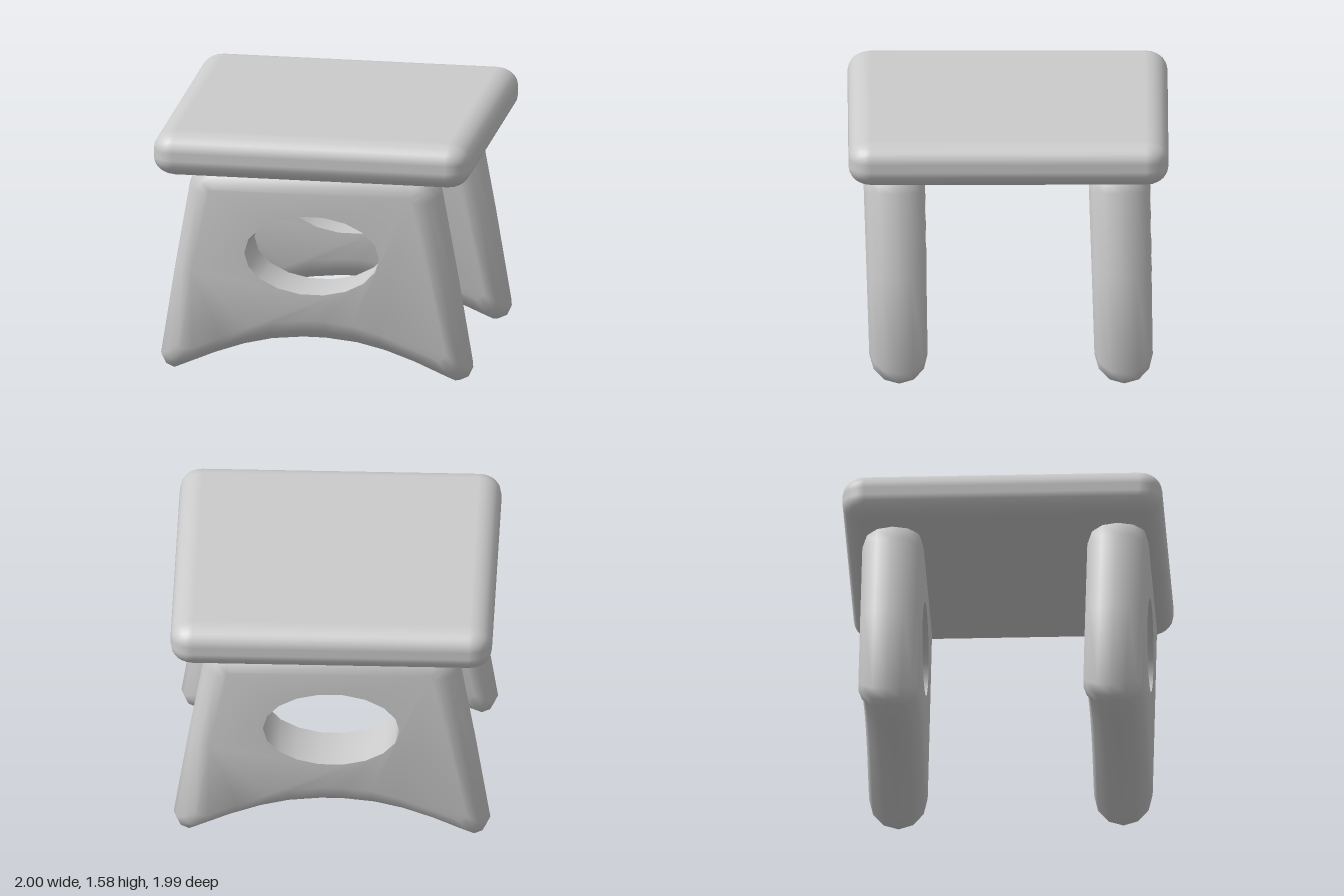
import * as THREE from 'three';
import { mergeGeometries, toCreasedNormals } from 'three/addons/utils/BufferGeometryUtils.js';
import { RoundedBoxGeometry } from 'three/addons/geometries/RoundedBoxGeometry.js';

// Right halves of the leg contour, bottom centre to top: full outline and flat face.
const OUTER = [[0.07, 0.24], [0.27, 0.22], [0.45, 0.178], [0.64, 0.112], [0.84, 0.025], [0.9, 0],
  [0.955, 0.025], [0.985, 0.09], [0.89, 0.68], [0.797, 1.21], [0.765, 1.3], [0.69, 1.36]];
const FACE = [[0.07, 0.39], [0.25, 0.37], [0.41, 0.325], [0.58, 0.255], [0.76, 0.175], [0.8, 0.16],
  [0.83, 0.17], [0.845, 0.2], [0.76, 0.68], [0.665, 1.18], [0.65, 1.21], [0.62, 1.22]];

const mirrored = (half) => [...half, ...half.map(([x, y]) => [-x, y]).reverse()];
const toVectors = (points) => points.map(([x, y]) => new THREE.Vector2(x, y));

// Skin between successive closed rings of [x, y, z] points.
function skin(rings) {
  const positions = [];
  for (let i = 0; i < rings.length - 1; i++) {
    const near = rings[i], far = rings[i + 1], n = near.length;
    for (let j = 0; j < n; j++) {
      const k = (j + 1) % n;
      positions.push(...near[j], ...far[j], ...near[k], ...near[k], ...far[j], ...far[k]);
    }
  }
  const geometry = new THREE.BufferGeometry();
  geometry.setAttribute('position', new THREE.Float32BufferAttribute(positions, 3));
  return geometry;
}

function legGeometry() {
  const outer = mirrored(OUTER), face = mirrored(FACE);

  // Rounded rim, sweeping half a turn from front face to back face
  const rim = [];
  for (let i = 0; i <= 6; i++) {
    const a = (i / 6) * Math.PI, s = Math.sin(a);
    rim.push(face.map(([x, y], j) => [
      x + (outer[j][0] - x) * s, y + (outer[j][1] - y) * s, Math.cos(a)]));
  }

  // Sharp-edged oval opening
  const oval = [];
  for (let i = 0; i < 18; i++) {
    const a = -(i / 18) * Math.PI * 2;
    oval.push([0.425 * Math.cos(a), 0.815 + 0.257 * Math.sin(a)]);
  }
  const wall = [1, -1].map((z) => oval.map(([x, y]) => [x, y, z]));

  // Flat front and back faces
  const shape = new THREE.Shape(toVectors(face));
  shape.holes.push(new THREE.Path(toVectors(oval)));
  const front = new THREE.ShapeGeometry(shape).toNonIndexed();
  front.deleteAttribute('normal');
  front.deleteAttribute('uv');
  front.translate(0, 0, 1);
  const back = front.clone().rotateY(Math.PI);

  const geometry = mergeGeometries([skin(rim), skin(wall), front, back]);

  // Give the panel its thickness, slight taper and lean
  const p = geometry.attributes.position;
  for (let i = 0; i < p.count; i++) {
    const y = p.getY(i);
    p.setZ(i, 0.025 * (y - 0.6) + p.getZ(i) * (0.18 + 0.008 * y));
  }
  return toCreasedNormals(geometry, 0.9);
}

export function createModel() {
  const group = new THREE.Group();
  group.name = 'stool';
  const material = new THREE.MeshStandardMaterial({ color: 0xcccccc });

  // Cushioned square seat
  const seatGeometry = new RoundedBoxGeometry(2, 0.34, 1.99, 3, 0.14);
  seatGeometry.scale(1, 0.28 / 0.34, 1);
  const seat = new THREE.Mesh(seatGeometry, material);
  seat.name = 'seat';
  seat.position.y = 1.44;
  group.add(seat);

  // Two identical panel legs
  const leg = legGeometry();
  for (const [name, z] of [['frontLeg', 0.695], ['backLeg', -0.705]]) {
    const mesh = new THREE.Mesh(leg, material);
    mesh.name = name;
    mesh.position.z = z;
    group.add(mesh);
  }
  return group;
}
